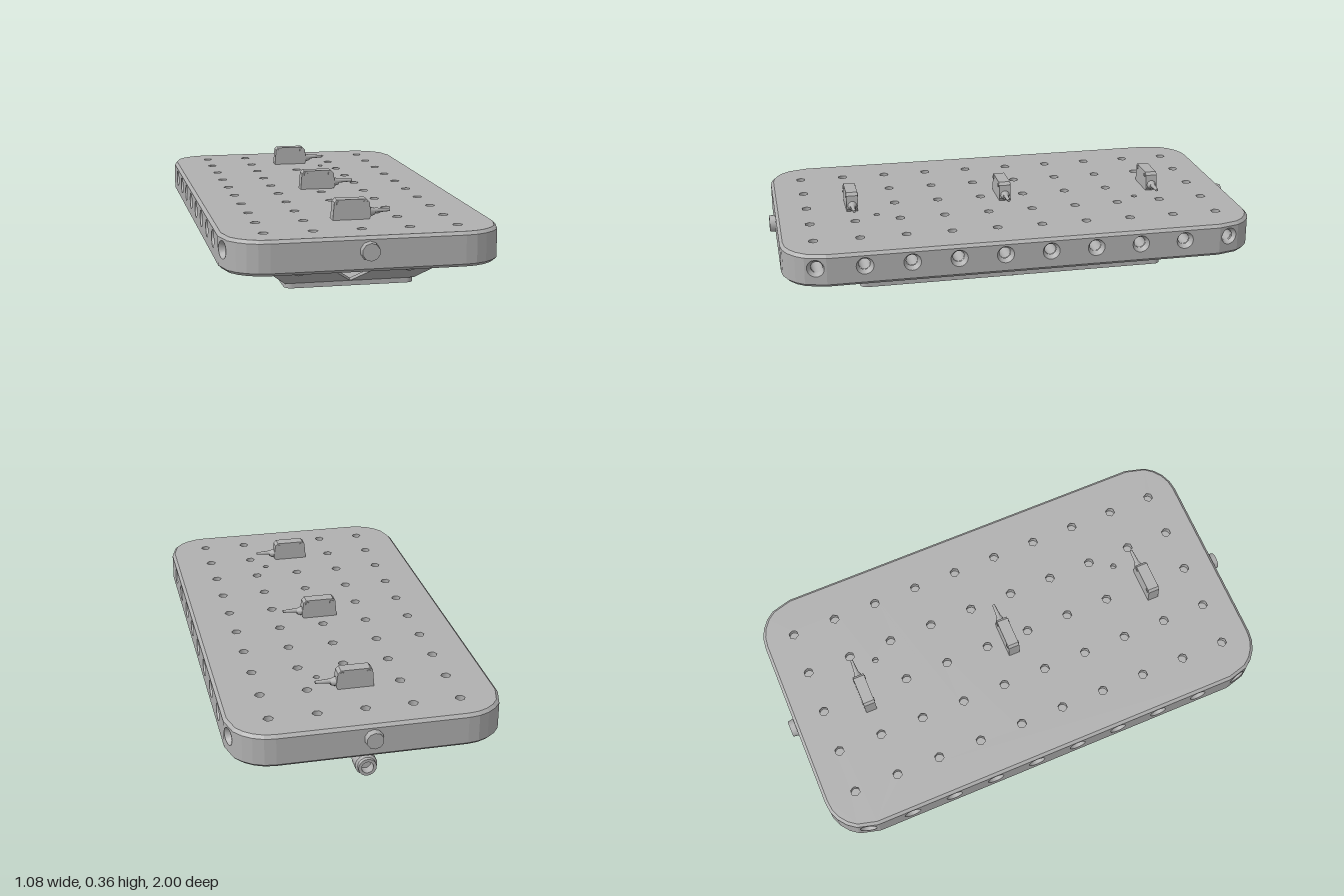
import * as THREE from 'three';

export function createModel() {
  const model = new THREE.Group();
  const grey = new THREE.MeshStandardMaterial({ color: 0xb0b0b0, side: THREE.DoubleSide });
  grey.name = 'machined grey';

  const add = (name, geo, parent = model, pos = [0, 0, 0]) => {
    const m = new THREE.Mesh(geo, grey);
    m.name = name;
    m.position.set(...pos);
    parent.add(m);
    return m;
  };
  const group = (name, ry = 0, parent = model) => {
    const g = new THREE.Group();
    g.name = name;
    g.rotation.y = ry;
    parent.add(g);
    return g;
  };
  const poly = (pts) => new THREE.Shape(pts.map((p) => new THREE.Vector2(...p)));
  const hole = (shape, x, y, r) => shape.holes.push(new THREE.Path().absarc(x, y, r, 0, Math.PI * 2, true));
  const cyl = (rTop, rBot, h, n = 16, open = false) => new THREE.CylinderGeometry(rTop, rBot, h, n, 1, open);
  // Orient flat local geometry by its u and v directions
  const orient = (geo, u, v, origin) => {
    const n = u.clone().cross(v);
    return geo.applyMatrix4(new THREE.Matrix4().makeBasis(u, v, n).setPosition(origin));
  };
  const V = (x, y, z) => new THREE.Vector3(x, y, z);

  // ---- Table plate: rounded rectangle with chamfered rims ----
  const W = 0.54, D = 0.975, R = 0.17, Y0 = 0.145, Y1 = 0.28, C = 0.012;
  const spots = Array.from({ length: 10 }, (_, i) => -0.8424 + 0.1872 * i);
  const ring = (inset) => {
    const pts = [], steps = [0, 30, 45, 60, 75, 90];
    for (let q = 0; q < 4; q++) {
      const sx = q === 0 || q === 3 ? 1 : -1, sz = q < 2 ? 1 : -1;
      const list = q % 2 ? [...steps].reverse() : steps;
      for (const deg of list) {
        const a = (deg * Math.PI) / 180;
        pts.push([sx * (W - R + (R - inset) * Math.cos(a)), sz * (D - R + (R - inset) * Math.sin(a))]);
      }
    }
    return pts;
  };
  const outer = ring(0), inner = ring(C);
  const plate = group('tablePlate');

  const top = poly(inner.map(([x, z]) => [x, -z]));
  const columns = [-0.375, -0.1875, 0, 0.1875, 0.375];
  for (const x of columns) for (const z of spots) hole(top, x, -z, 0.02);
  for (const z of [-0.56, 0.56]) hole(top, 0.13, -z, 0.013);
  add('plateTop', new THREE.ShapeGeometry(top, 3).rotateX(-Math.PI / 2), plate, [0, Y1, 0]);
  add('plateUnderside', new THREE.ShapeGeometry(poly(inner)).rotateX(Math.PI / 2), plate, [0, Y0, 0]);

  // Blind holes in the top
  const cup = (x, z, r) => {
    add('topHoleWall', cyl(r, r, 0.028, 12, true), plate, [x, Y1 - 0.014, z]);
    add('topHoleFloor', new THREE.CircleGeometry(r, 12).rotateX(-Math.PI / 2), plate, [x, Y1 - 0.028, z]);
  };
  for (const x of columns) for (const z of spots) cup(x, z, 0.02);
  for (const z of [-0.56, 0.56]) cup(0.13, z, 0.013);

  // Chamfers and wall panels around the perimeter
  const chamfer = (yRim, yCap) => {
    const v = [];
    outer.forEach((o, i) => {
      const j = (i + 1) % outer.length, p = outer[j], a = inner[i], b = inner[j];
      v.push(o[0], yRim, o[1], a[0], yCap, a[1], b[0], yCap, b[1]);
      v.push(o[0], yRim, o[1], b[0], yCap, b[1], p[0], yRim, p[1]);
    });
    // Upper ring winds outward as built; reverse the lower one
    if (yCap < yRim) for (let k = 0; k < v.length; k += 9) v.splice(k + 3, 6, ...v.slice(k + 6, k + 9), ...v.slice(k + 3, k + 6));
    const g = new THREE.BufferGeometry();
    g.setAttribute('position', new THREE.Float32BufferAttribute(v, 3));
    g.computeVertexNormals();
    return g;
  };
  add('topChamfer', chamfer(Y1 - C, Y1), plate);
  add('bottomChamfer', chamfer(Y0 + C, Y0), plate);

  const holeY = 0.225, midY = (Y0 + Y1) / 2, half = (Y1 - Y0) / 2 - C;
  outer.forEach((p, i) => {
    const q = outer[(i + 1) % outer.length];
    const dir = V(p[0] - q[0], 0, p[1] - q[1]), L = dir.length() / 2;
    const s = poly([[-L, -half], [L, -half], [L, half], [-L, half]]);
    if (L > 0.7) spots.slice(1, 9).forEach((z) => hole(s, z, holeY - midY, 0.035));
    else if (L > 0.03 && L < 0.1) hole(s, 0, holeY - midY, 0.035);
    add('plateWall', orient(new THREE.ShapeGeometry(s, 10), dir.normalize(), V(0, 1, 0),
      V((p[0] + q[0]) / 2, midY, (p[1] + q[1]) / 2)), plate);
  });

  // Cross-drilled bores with countersunk mouths
  spots.forEach((z) => add('crossBore', cyl(0.023, 0.023, 1.03, 16, true).rotateZ(Math.PI / 2), plate, [0, holeY, z]));
  for (const ry of [0, Math.PI]) {
    const side = group('boreMouths', ry, plate);
    spots.forEach((z, i) => {
      const end = i === 0 || i === 9;
      const m = add('countersink', cyl(0.035, 0.023, 0.022, 20, true).rotateZ(-Math.PI / 2), side,
        [end ? 0.519 : 0.529, holeY, end ? Math.sign(z) * 0.845 : z]);
      if (end) m.rotation.y = (-Math.sign(z) * Math.PI) / 12;
    });
    // End plugs
    add('endPlug', cyl(0.034, 0.038, 0.03, 10).rotateX(Math.PI / 2), group('plug', ry), [0, holeY, 0.985]);
  }

  // ---- Sensors standing on the table ----
  for (const z of [-0.655, 0, 0.655]) {
    const g = group('sensor');
    g.position.set(0, Y1, z);
    const s = poly([[-0.076, 0], [0.07, 0], [0.077, 0.012], [0.07, 0.068], [0.058, 0.08], [-0.06, 0.08], [-0.07, 0.07]]);
    add('sensorBody', new THREE.ExtrudeGeometry(s, { depth: 0.048, bevelEnabled: false }), g, [0, 0, -0.024]);
    add('cableSocket', cyl(0.013, 0.02, 0.022, 10).rotateZ(-Math.PI / 2), g, [0.085, 0.025, 0]);
    add('cable', cyl(0.006, 0.01, 0.06, 8).rotateZ(-Math.PI / 2), g, [0.126, 0.029, 0]);
    for (const x of [-0.053, 0.053]) add('sensorScrew', cyl(0.009, 0.009, 0.054, 6).rotateX(Math.PI / 2), g, [x, 0.066, 0]);
  }

  // ---- Hollow tapered base under the table ----
  const base = group('base');
  const floor = new THREE.Shape();
  const bw = 0.26, bd = 0.65, br = 0.03;
  [[1, 1, 0], [-1, 1, 1], [-1, -1, 2], [1, -1, 3]].forEach(([sx, sy, k]) =>
    floor.absarc(sx * (bw - br), sy * (bd - br), br, (k * Math.PI) / 2, ((k + 1) * Math.PI) / 2, false));
  hole(floor, 0, 0, 0.19);
  add('baseFloor', new THREE.ExtrudeGeometry(floor, { depth: 0.024, bevelEnabled: false, curveSegments: 20 })
    .rotateX(-Math.PI / 2), base, [0, 0.01, 0]);
  add('portCollar', new THREE.LatheGeometry([[0.19, 0.008], [0.205, 0.008], [0.205, 0.06], [0.19, 0.06], [0.19, 0.008]]
    .map((p) => new THREE.Vector2(...p)), 40), base);
  const flange = new THREE.Shape().absarc(0, 0, 0.25, 0, Math.PI * 2, false);
  hole(flange, 0, 0, 0.19);
  for (let i = 0; i < 8; i++) hole(flange, 0.225 * Math.cos((i + 0.5) * Math.PI / 4), 0.225 * Math.sin((i + 0.5) * Math.PI / 4), 0.007);
  add('portFlange', new THREE.ExtrudeGeometry(flange, { depth: 0.005, bevelEnabled: false, curveSegments: 20 })
    .rotateX(-Math.PI / 2), base, [0, 0.005, 0]);
  add('portCover', cyl(0.24, 0.24, 0.029, 32), base, [0, 0.1185, 0]);

  const sheet = { depth: 0.012, bevelEnabled: false, curveSegments: 8 };
  const bolt = (u, v) => cyl(0.02, 0.02, 0.02, 6).rotateX(Math.PI / 2).translate(u, v, 0);
  const sideV = V(0.13, 0.115, 0), endV = V(0, 0.115, 0.15);
  const sl = sideV.length(), el = endV.length();
  sideV.normalize();
  endV.normalize();
  for (const ry of [0, Math.PI]) {
    const g = group('baseWalls', ry, base);
    // Sloping long side with a rounded slot
    const side = poly([[-0.65, 0], [0.65, 0], [0.8, sl], [-0.8, sl]]);
    const slot = new THREE.Path();
    slot.absarc(0.245, 0.075, 0.029, Math.PI / 2, -Math.PI / 2, true);
    slot.absarc(-0.245, 0.075, 0.029, -Math.PI / 2, -Math.PI * 1.5, true);
    side.holes.push(slot);
    const sideAt = V(0.26, 0.03, 0), u = V(0, 0, 1);
    add('baseSide', orient(new THREE.ExtrudeGeometry(side, sheet), u, sideV, sideAt), g);
    for (const z of [-0.565, 0.565]) add('sideBolt', orient(bolt(z, 0.105), u, sideV, sideAt), g);
    for (const z of [-0.135, 0.135]) add('slotRib', orient(new THREE.BoxGeometry(0.02, 0.058, 0.012)
      .translate(z, 0.075, 0.006), u, sideV, sideAt), g);

    // Sloping end, split by a V-shaped opening
    const endAt = V(0, 0.03, 0.65), ue = V(-1, 0, 0);
    for (const s of [-1, 1]) {
      const end = poly([[0, 0], [s * 0.26, 0], [s * 0.39, el], [s * 0.15, el]]);
      add('baseEnd', orient(new THREE.ExtrudeGeometry(end, sheet), ue, endV, endAt), g);
      add('endBolt', orient(bolt(s * 0.22, 0.112), ue, endV, endAt), g);
    }
  }

  // ---- Elbow hose fitting at the back ----
  const fit = group('hoseFitting');
  fit.position.z = -0.765;
  add('fittingNut', cyl(0.04, 0.04, 0.024, 6), fit, [0, 0.134, 0]);
  add('fittingStem', cyl(0.03, 0.034, 0.07), fit, [0, 0.09, 0]);
  add('fittingElbow', new THREE.SphereGeometry(0.036, 16, 12), fit, [0, 0.046, 0]);
  add('fittingNeck', cyl(0.032, 0.032, 0.06).rotateX(Math.PI / 2), fit, [0, 0.045, -0.02]);
  add('fittingSleeve', new THREE.LatheGeometry([[0, 0], [0.04, 0], [0.044, 0.008], [0.044, 0.065], [0.036, 0.072],
    [0.036, 0.088], [0.024, 0.088], [0.024, 0.05], [0, 0.05]].map((p) => new THREE.Vector2(...p)), 20)
    .toNonIndexed().rotateX(-Math.PI / 2), fit, [0, 0.044, -0.037]).geometry.computeVertexNormals();

  // Small drain plug under the front
  add('drainPlug', cyl(0.022, 0.022, 0.022, 8), model, [0, 0.136, 0.78]);
  return model;
}
